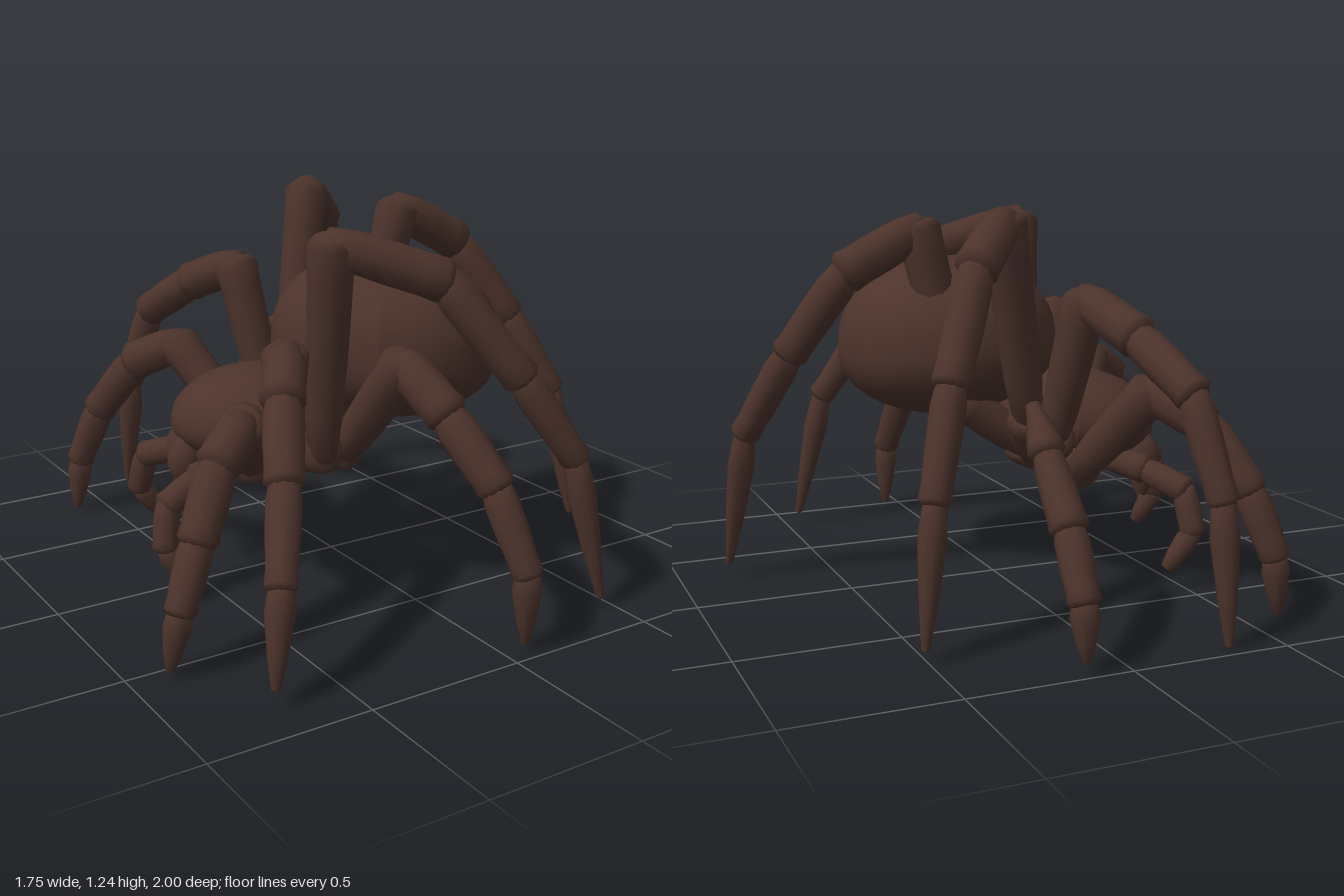
import * as THREE from 'three';

const brown = new THREE.MeshStandardMaterial({ color: 0x4c332b });
brown.name = 'dark brown';
const UP = new THREE.Vector3(0, 1, 0);

function add(parent, name, geometry) {
  const mesh = new THREE.Mesh(geometry, brown);
  mesh.name = name;
  parent.add(mesh);
  return mesh;
}

// Ellipsoid with an optional rule that reshapes the unit sphere first
function blob(parent, name, pos, radii, rotation = [0, 0], rule) {
  const geo = new THREE.SphereGeometry(1, 28, 20);
  if (rule) {
    const p = geo.attributes.position;
    const v = new THREE.Vector3();
    for (let i = 0; i < p.count; i++) {
      rule(v.fromBufferAttribute(p, i));
      p.setXYZ(i, v.x, v.y, v.z);
    }
  }
  geo.scale(...radii);
  geo.computeVertexNormals();
  const mesh = add(parent, name, geo);
  mesh.position.set(...pos);
  mesh.rotation.set(rotation[0], rotation[1], 0, 'YXZ');
}

// One limb segment: slim at its root, swelling, then a stepped rounded collar
function segment(parent, name, a, b, r0, r1, tip) {
  const from = new THREE.Vector3(...a);
  const dir = new THREE.Vector3(...b).sub(from);
  const len = dir.length();
  const profile = tip
    ? [[0, -r0 * 0.5], [r0 * 0.8, 0], [r0, len * 0.25], [(r0 + r1) * 0.52, len * 0.65], [r1, len * 0.97], [0, len]]
    : [[0, -r0 * 0.6], [r0 * 0.75, -r0 * 0.3], [r0 * 0.97, len * 0.2], [(r0 + r1) * 0.51, len * 0.55],
      [r1, len * 0.85], [r1 * 1.06, len], [r1 * 0.75, len + r1 * 0.35], [0, len + r1 * 0.5]];
  const geo = new THREE.LatheGeometry(profile.map(([x, y]) => new THREE.Vector2(x, y)), 10);
  const mesh = add(parent, name, geo);
  mesh.position.copy(from);
  mesh.quaternion.setFromUnitVectors(UP, dir.normalize());
}

const LEG_PARTS = ['coxa', 'femur', 'patella', 'tibia', 'metatarsus', 'tarsus'];
const LEG_RADII = [0.06, 0.062, 0.066, 0.063, 0.055, 0.044, 0.013];

// Jointed limb through a short list of points
function limb(parent, name, points, parts = LEG_PARTS, radii = LEG_RADII) {
  const group = new THREE.Group();
  group.name = name;
  parent.add(group);
  const last = points.length - 2;
  for (let i = 0; i <= last; i++) {
    segment(group, parts[i], points[i], points[i + 1], radii[i],
      radii[i + 1] * (i < last ? 1.06 : 1), i === last);
  }
}

export function createModel() {
  const spider = new THREE.Group();
  spider.name = 'spider';

  // Body: abdomen with a full underside, waist, carapace and sternum
  blob(spider, 'abdomen', [0.1, 0.795, 0.17], [0.34, 0.265, 0.37], [0.06, 0.9], (v) => {
    if (v.y < 0) {
      const k = 1 - 0.14 * v.y;
      v.x *= k;
      v.z *= k;
    }
  });
  blob(spider, 'waist', [-0.11, 0.54, 0.02], [0.12, 0.11, 0.14], [0, 1.12]);
  const facing = Math.atan2(-0.9, -0.38);
  blob(spider, 'carapace', [-0.28, 0.52, -0.05], [0.235, 0.165, 0.265], [0.08, facing], (v) => {
    if (v.y < 0) v.y *= 0.85;
  });
  blob(spider, 'sternum', [-0.25, 0.4, -0.02], [0.14, 0.07, 0.2], [0, facing]);

  // Jaws, mirrored across the body axis
  const head = new THREE.Group();
  head.name = 'head';
  head.position.set(-0.28, 0, -0.05);
  head.rotation.y = facing;
  spider.add(head);
  for (const s of [-1, 1]) {
    blob(head, 'jaw', [s * 0.06, 0.4, 0.22], [0.052, 0.085, 0.06], [-0.2, 0]);
    segment(head, 'fang', [s * 0.065, 0.36, 0.23], [s * 0.055, 0.26, 0.23], 0.034, 0.01, true);
  }

  // Walking legs: hip, trochanter, knee, patella, tibia and metatarsus ends, foot
  const legs = {
    frontLegNear: [[-0.36, 0.42, 0.08], [-0.42, 0.45, 0.2], [-0.56, 0.65, 0.4], [-0.67, 0.57, 0.46], [-0.77, 0.38, 0.52], [-0.85, 0.2, 0.56], [-0.88, 0.01, 0.54]],
    secondLegNear: [[-0.3, 0.42, 0.1], [-0.33, 0.46, 0.24], [-0.4, 0.83, 0.38], [-0.48, 0.74, 0.5], [-0.57, 0.56, 0.66], [-0.67, 0.33, 0.81], [-0.72, 0.05, 0.86]],
    thirdLegNear: [[-0.22, 0.42, 0.11], [-0.26, 0.5, 0.36], [-0.29, 1.16, 0.46], [0.0, 1.05, 0.6], [0.2, 0.76, 0.73], [0.36, 0.5, 0.81], [0.45, 0.03, 0.86]],
    rearLegNear: [[-0.14, 0.42, 0.1], [-0.14, 0.47, 0.3], [-0.1, 0.8, 0.56], [-0.05, 0.68, 0.7], [0.02, 0.49, 0.85], [0.06, 0.25, 0.96], [0.07, 0.02, 0.95]],
    frontLegFar: [[-0.24, 0.4, -0.12], [-0.2, 0.39, -0.25], [-0.33, 0.67, -0.48], [-0.44, 0.59, -0.61], [-0.53, 0.4, -0.73], [-0.59, 0.2, -0.79], [-0.61, 0.01, -0.79]],
    secondLegFar: [[-0.18, 0.42, -0.12], [-0.1, 0.5, -0.26], [-0.16, 0.95, -0.36], [-0.22, 0.86, -0.58], [-0.28, 0.72, -0.81], [-0.32, 0.43, -0.92], [-0.33, 0, -0.96]],
    thirdLegFar: [[-0.1, 0.43, -0.1], [-0.03, 0.56, -0.22], [0.1, 1.19, -0.32], [0.24, 1.07, -0.45], [0.37, 0.76, -0.58], [0.46, 0.45, -0.68], [0.51, 0.03, -0.73]],
    rearLegFar: [[-0.08, 0.45, -0.06], [0.12, 0.6, -0.03], [0.26, 1.16, 0.0], [0.5, 1.03, 0.0], [0.66, 0.77, 0.1], [0.79, 0.5, 0.2], [0.84, 0.04, 0.28]],
  };
  // Bow the end of each leg outward before it drops to the foot
  for (const [name, points] of Object.entries(legs)) limb(spider, name, points);

  // Loose lower leg standing apart from the body
  limb(spider, 'looseLowerLeg', [[0.115, 0.67, -0.58], [0.12, 0.56, -0.68], [0.125, 0.38, -0.84], [0.13, 0.2, -0.95], [0.13, 0.03, -0.97]],
    ['stump', 'tibia', 'metatarsus', 'tarsus'], [0.03, 0.05, 0.052, 0.044, 0.013]);

  // Feelers beside the jaws
  const feelers = {
    feelerFar: [[-0.34, 0.4, -0.16], [-0.43, 0.37, -0.26], [-0.51, 0.32, -0.39], [-0.52, 0.19, -0.43], [-0.43, 0.07, -0.42]],
    feelerNear: [[-0.42, 0.4, 0.02], [-0.54, 0.38, 0.07], [-0.66, 0.32, 0.09], [-0.68, 0.19, 0.11], [-0.62, 0.07, 0.14]],
  };
  for (const [name, points] of Object.entries(feelers)) {
    limb(spider, name, points, ['base', 'upper', 'middle', 'tip'], [0.045, 0.045, 0.042, 0.038, 0.022]);
  }
  return spider;
}
